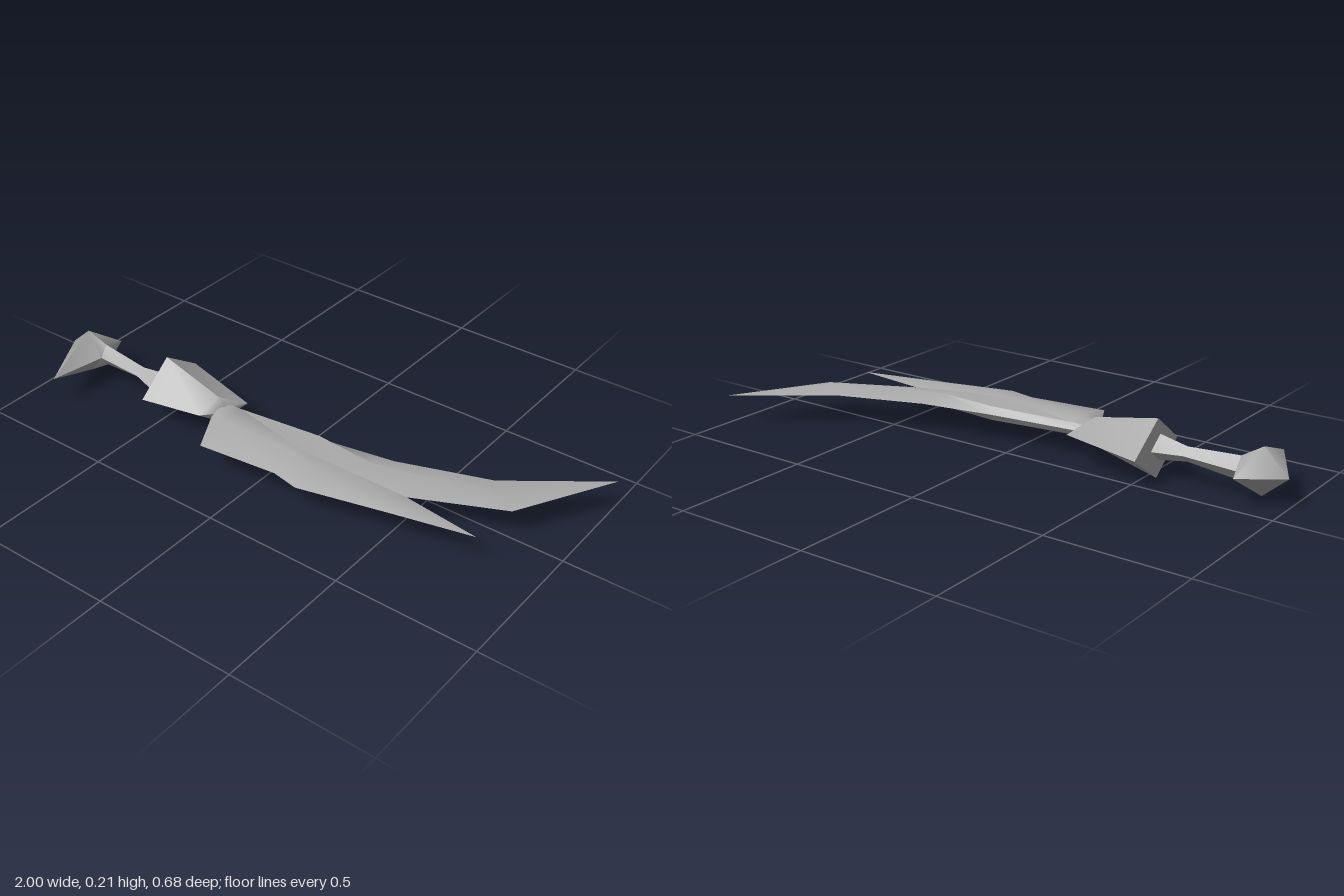
import * as THREE from 'three';
import { toCreasedNormals } from 'three/addons/utils/BufferGeometryUtils.js';

const MID = 0.104; // height of the horizontal plane of symmetry

// Skin over rows of [x, z, half thickness], running from the front edge to the
// back edge, mirrored below the middle plane.
function mirroredSkin(rows, crease) {
  const pos = [];
  const tri = (a, b, c) => {
    const area = new THREE.Triangle(a, b, c).getArea();
    if (area < 1e-7) return;
    for (const p of [a, b, c]) pos.push(p.x, p.y, p.z);
  };
  for (const side of [1, -1]) {
    const at = (r, c) => {
      const [x, z, h] = rows[r][c];
      return new THREE.Vector3(x, MID + side * h, z);
    };
    const face = (a, b, c) => (side > 0 ? tri(a, b, c) : tri(a, c, b));
    for (let r = 0; r < rows.length - 1; r++) {
      for (let c = 0; c < rows[r].length - 1; c++) {
        face(at(r, c), at(r + 1, c), at(r, c + 1));
        face(at(r + 1, c), at(r + 1, c + 1), at(r, c + 1));
      }
    }
  }
  const geometry = new THREE.BufferGeometry();
  geometry.setAttribute('position', new THREE.Float32BufferAttribute(pos, 3));
  return toCreasedNormals(geometry, crease);
}

export function createModel() {
  const group = new THREE.Group();
  const steel = new THREE.MeshStandardMaterial({ color: 0xaaaaaa, side: THREE.DoubleSide });
  steel.name = 'grey steel';

  const add = (name, rows, crease = 0.9) => {
    const mesh = new THREE.Mesh(mirroredSkin(rows, crease), steel);
    mesh.name = name;
    group.add(mesh);
  };
  const point = (x, z, n = 3) => Array.from({ length: n }, () => [x, z, 0]);

  // Hooked pommel
  add('pommel', [
    point(-1, 0.1),
    [[-0.87, 0.335, 0], [-0.905, 0.115, 0.083], [-0.86, 0, 0]],
    [[-0.835, 0.13, 0], [-0.835, 0.1, 0.042], [-0.835, 0.065, 0]],
  ], 1.1);

  // Waisted grip
  add('grip', [
    [[-0.835, 0.13, 0], [-0.835, 0.1, 0.042], [-0.835, 0.065, 0]],
    [[-0.65, 0.14, 0], [-0.64, 0.112, 0.026], [-0.64, 0.085, 0]],
    [[-0.53, 0.18, 0], [-0.53, 0.118, 0.046], [-0.53, 0.055, 0]],
  ], 1.1);

  // Diamond guard with a flat rear face
  add('guard', [
    [[-0.53, 0.24, 0], [-0.535, 0.1, 0], [-0.54, -0.05, 0]],
    [[-0.53, 0.24, 0], [-0.535, 0.1, 0.103], [-0.54, -0.05, 0]],
    [[-0.31, 0.195, 0], [-0.28, 0.122, 0.05], [-0.225, 0.035, 0]],
    [[-0.27, 0.15, 0], [-0.25, 0.125, 0.02], [-0.235, 0.08, 0]],
    point(-0.25, 0.125),
  ]);

  // The blade halves share a middle line down to the fork
  const middle = [
    [-0.26, 0.13, 0.022], [-0.2, 0.16, 0.028], [0.1, 0.17, 0.028],
    [0.3, 0.16, 0.018], [0.51, 0.14, 0],
  ];

  // Front edge, ending in the short prong
  const frontEdge = [
    [[-0.27, 0.175, 0], [-0.265, 0.15, 0.02]],
    [[-0.19, 0.325, 0], [-0.2, 0.2, 0.031]],
    [[0.1, 0.295, 0], [0.1, 0.2, 0.032]],
    [[0.2, 0.315, 0], [0.25, 0.23, 0.025]],
    [[0.51, 0.24, 0], [0.5, 0.195, 0.013]],
  ];
  add('bladeFrontProng', [
    ...frontEdge.map((row, i) => [...row, middle[i]]),
    point(0.79, 0.175),
  ]);

  // Back edge, sweeping into the long curved tip
  const backEdge = [
    [[-0.26, 0.1, 0.02], [-0.26, 0.09, 0]],
    [[-0.2, 0.1, 0.022], [-0.2, 0.085, 0]],
    [[0.11, 0.068, 0.025], [0.11, 0.05, 0]],
    [[0.33, 0.085, 0.024], [0.37, 0.005, 0]],
    [[0.55, 0.03, 0.022], [0.53, -0.051, 0]],
  ];
  add('bladeCurvedTip', [
    ...backEdge.map((row, i) => [middle[i], ...row]),
    [[0.81, 0, 0], [0.75, -0.05, 0.018], [0.685, -0.105, 0]],
    point(1, -0.34),
  ]);

  return group;
}
